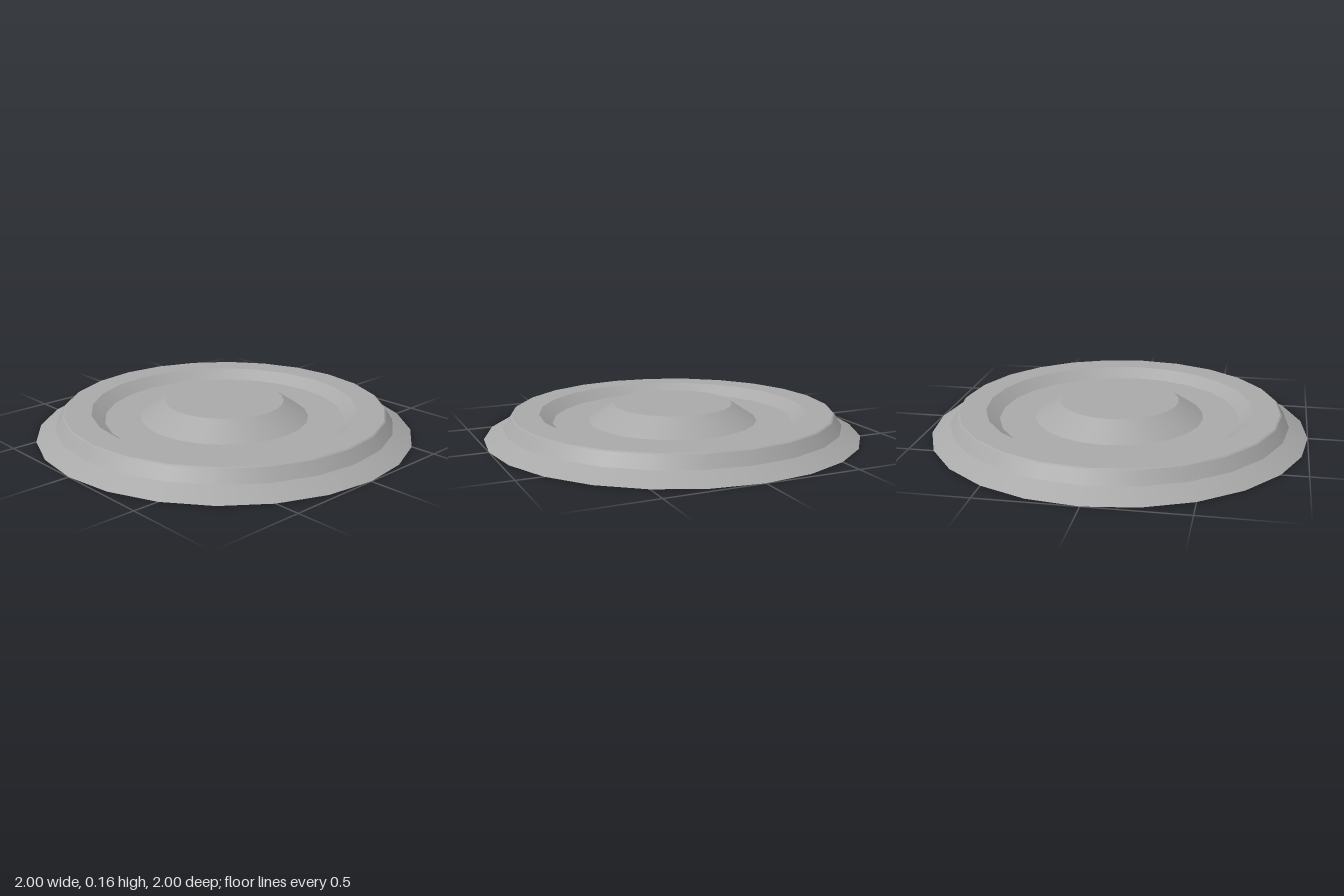
import * as THREE from 'three';

export function createModel() {
  const model = new THREE.Group();
  model.name = 'steppedDisc';
  const grey = new THREE.MeshStandardMaterial({ color: 0xa8a8a8, side: THREE.DoubleSide });
  grey.name = 'grey';

  // Profile rings [radius, height] of a thin open-bottomed shell, rim to centre
  const start = [1, 0];
  const bands = [
    ['rimSlope', 0.9, 0.055],
    ['outerWall', 0.86, 0.117],
    ['edgeBevel', 0.852, 0.122],
    ['outerPlateau', 0.71, 0.122],
    ['grooveOuterSlope', 0.64, 0.072],
    ['grooveFloor', 0.45, 0.072],
    ['hubSlope', 0.318, 0.16],
  ];

  // Each band is its own lathe: smooth around, sharp between bands
  let [r, y] = start;
  for (const [name, r2, y2] of bands) {
    const points = [new THREE.Vector2(r, y), new THREE.Vector2(r2, y2)];
    const band = new THREE.Mesh(new THREE.LatheGeometry(points, 24), grey);
    band.name = name;
    model.add(band);
    [r, y] = [r2, y2];
  }

  // Flat cap on the raised hub
  const cap = new THREE.Mesh(new THREE.CircleGeometry(r, 24).rotateX(-Math.PI / 2), grey);
  cap.name = 'hubTop';
  cap.position.y = y;
  model.add(cap);
  return model;
}
